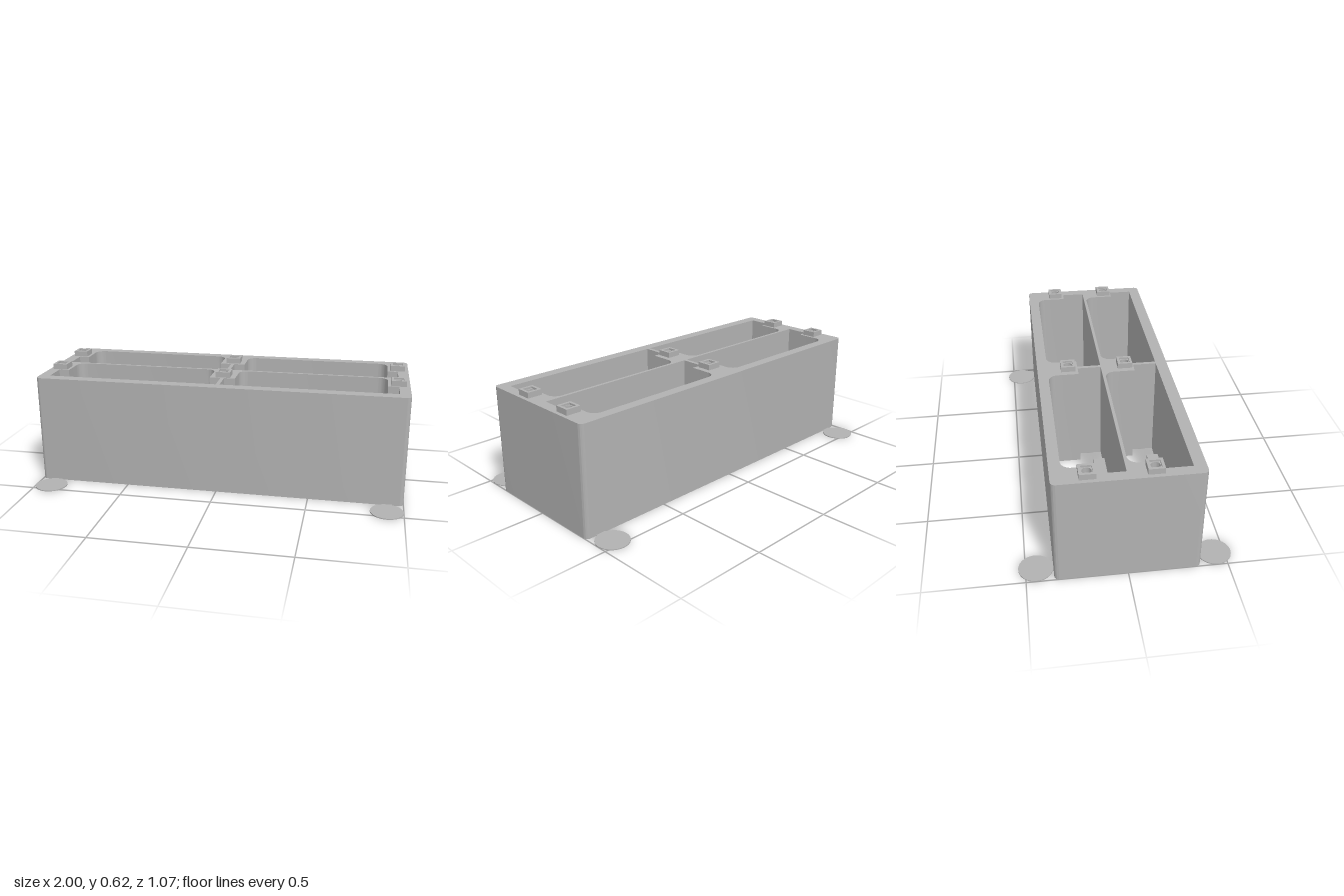
import * as THREE from 'three';
import { toCreasedNormals } from 'three/addons/utils/BufferGeometryUtils.js';

const grey = new THREE.MeshStandardMaterial({ color: 0xb2b2b2 });
grey.name = 'plain grey';

const HEIGHT = 0.59, HALF_DEPTH = 0.362;
const BORE = 0.023;
const boreXs = [-0.94, 0, 0.94];
const boreZs = [-0.193, 0.122];
const pocketZs = [-0.306, 0.005]; // rear edge of each pocket row

// Plan outlines use (x, -z); this extrudes them upward from y.
function slab(name, shape, y, height) {
  let geo = new THREE.ExtrudeGeometry(shape, { depth: height, bevelEnabled: false, curveSegments: 16 });
  geo.rotateX(-Math.PI / 2).translate(0, y, 0);
  geo = toCreasedNormals(geo, 0.5);
  const mesh = new THREE.Mesh(geo, grey);
  mesh.name = name;
  return mesh;
}

function roundedRect(hw, hd, r) {
  const s = new THREE.Shape();
  s.absarc(hw - r, hd - r, r, 0, Math.PI / 2);
  s.absarc(-hw + r, hd - r, r, Math.PI / 2, Math.PI);
  s.absarc(-hw + r, -hd + r, r, Math.PI, Math.PI * 1.5);
  s.absarc(hw - r, -hd + r, r, Math.PI * 1.5, Math.PI * 2);
  s.closePath();
  return s;
}

function squareShape(x, z, half, target = new THREE.Shape()) {
  target.moveTo(x - half, -z - half);
  target.lineTo(x + half, -z - half);
  target.lineTo(x + half, -z + half);
  target.lineTo(x - half, -z + half);
  target.closePath();
  return target;
}

function boreHole(x, z) {
  return new THREE.Path().absarc(x, -z, BORE, 0, Math.PI * 2, true);
}

// Pocket: narrow between the posts with filleted rear corners, wide in front.
function pocketHole(side, z0) {
  const inner = 0.07, outer = 0.885, r = 0.05, k = r * 0.45;
  const rear = -z0, step = -(z0 + 0.166), front = -(z0 + 0.295);
  const p = new THREE.Path();
  p.moveTo(side * 0.01, front);
  p.lineTo(side * 0.01, step);
  p.lineTo(side * inner, step);
  p.lineTo(side * inner, rear - r);
  p.bezierCurveTo(side * inner, rear - k, side * (inner + k), rear, side * (inner + r), rear);
  p.lineTo(side * (outer - r), rear);
  p.bezierCurveTo(side * (outer - k), rear, side * outer, rear - k, side * outer, rear - r);
  p.lineTo(side * outer, step);
  p.lineTo(side * 0.942, step);
  p.lineTo(side * 0.942, front);
  p.closePath();
  return p;
}

export function createModel() {
  const model = new THREE.Group();
  model.name = 'fourPocketBlock';

  // Main block with four through pockets and six bores
  const plan = roundedRect(1, HALF_DEPTH, 0.025);
  for (const z of pocketZs) for (const side of [-1, 1]) plan.holes.push(pocketHole(side, z));
  for (const x of boreXs) for (const z of boreZs) plan.holes.push(boreHole(x, z));
  model.add(slab('block', plan, 0, HEIGHT));

  // Square locating pegs, each with a shallow square recess around its bore
  for (const x of boreXs) for (const z of boreZs) {
    const peg = new THREE.Group();
    peg.name = 'peg';
    const base = squareShape(x, z, 0.04);
    base.holes.push(boreHole(x, z));
    const rim = squareShape(x, z, 0.04);
    rim.holes.push(squareShape(x, z, 0.026, new THREE.Path()));
    peg.add(slab('pegBase', base, HEIGHT, 0.02), slab('pegRim', rim, HEIGHT + 0.02, 0.01));
    model.add(peg);
  }

  // Ledges with sloped undersides, low on the front wall of each pocket
  for (const z0 of pocketZs) for (const side of [-1, 1]) {
    const wall = z0 + 0.296, lip = wall - 0.066;
    const profile = new THREE.Shape([
      new THREE.Vector2(-wall, 0), new THREE.Vector2(-lip, 0.06),
      new THREE.Vector2(-lip, 0.08), new THREE.Vector2(-wall, 0.08),
    ]);
    const geo = new THREE.ExtrudeGeometry(profile, { depth: 0.597, bevelEnabled: false });
    geo.rotateY(Math.PI / 2).translate(side * 0.475 - 0.2985, 0, 0);
    const ledge = new THREE.Mesh(geo, grey);
    ledge.name = 'ledge';
    model.add(ledge);
  }

  // Thin round corner pads joined to the block by short tabs
  for (const sx of [-1, 1]) for (const sz of [-1, 1]) {
    const pad = new THREE.Group();
    pad.name = 'cornerPad';
    const disc = new THREE.Mesh(new THREE.CylinderGeometry(0.086, 0.086, 0.005, 48), grey);
    disc.name = 'padDisc';
    disc.position.set(sx * 0.914, 0.0025, sz * 0.449);
    const tab = new THREE.Mesh(new THREE.BoxGeometry(0.055, 0.0048, 0.035), grey);
    tab.name = 'padTab';
    tab.position.set(sx * 0.914, 0.0025, sz * 0.376);
    pad.add(disc, tab);
    model.add(pad);
  }

  return model;
}
